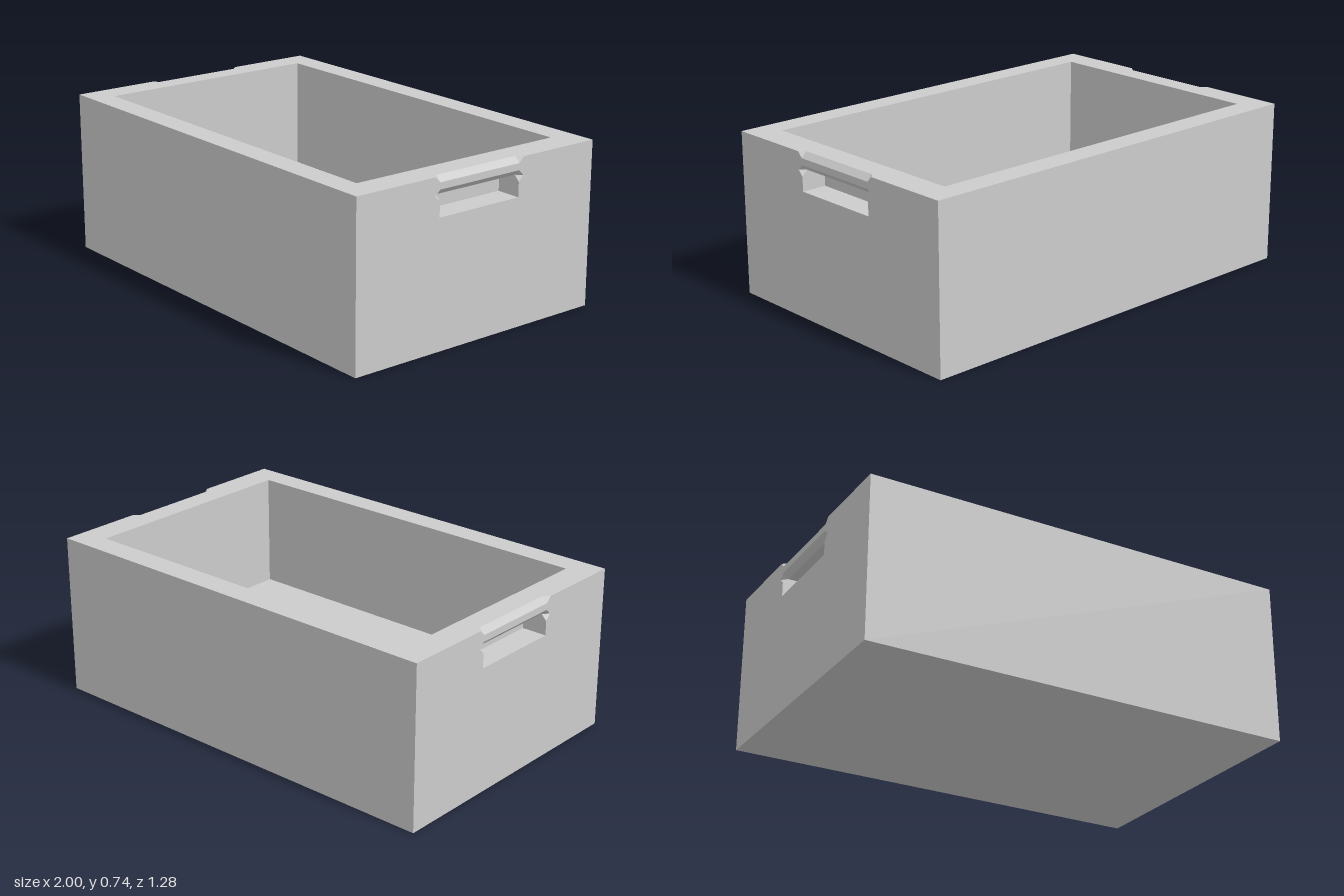
import * as THREE from 'three';

const material = new THREE.MeshStandardMaterial({ color: 0xcccccc, flatShading: true });

// Overall size, cavity limits and grip dimensions
const X = 1, H = 0.74, Z = 0.64;
const CX0 = -0.875, CX1 = 0.868, CZ0 = -0.527, CZ1 = 0.53, FLOOR = 0.22;
const GRIP = 0.215;              // half width of the grip
const C = 0.025;                 // chamfer size
const SLOT0 = 0.57, SLOT1 = 0.66; // slot bottom and ceiling
const BACK = 0.885;              // x of the slot's back wall

// Mesh of flat convex polygons; each entry is [facing direction, ...corners]
function facets(name, list) {
  const positions = [];
  const n = new THREE.Vector3(), e = new THREE.Vector3();
  for (const [facing, ...corners] of list) {
    const p = corners.map(c => new THREE.Vector3(...c));
    n.subVectors(p[1], p[0]).cross(e.subVectors(p[2], p[0]));
    if (n.dot(new THREE.Vector3(...facing)) < 0) p.reverse();
    for (let i = 1; i < p.length - 1; i++) {
      for (const v of [p[0], p[i], p[i + 1]]) positions.push(v.x, v.y, v.z);
    }
  }
  const g = new THREE.BufferGeometry();
  g.setAttribute('position', new THREE.Float32BufferAttribute(positions, 3));
  g.computeVertexNormals();
  return named(name, g);
}

function named(name, geometry) {
  const mesh = new THREE.Mesh(geometry, material);
  mesh.name = name;
  return mesh;
}

// Flat panel with one hole
function panel(outline, hole) {
  const toPoints = a => a.map(([u, v]) => new THREE.Vector2(u, v));
  const shape = new THREE.Shape(toPoints(outline));
  shape.holes.push(new THREE.Path(toPoints(hole)));
  return new THREE.ShapeGeometry(shape);
}

// End wall on the +x side with its grip slot and chamfered edges
function createEnd() {
  const end = new THREE.Group();
  const W = GRIP + C, IN = X - C;

  const wall = panel(
    [[-Z, 0], [Z, 0], [Z, H], [W, H], [GRIP, H - C], [-GRIP, H - C], [-W, H], [-Z, H]],
    [[-GRIP, SLOT0], [-GRIP, SLOT1 - C], [-W, SLOT1], [-GRIP, SLOT1 + C],
      [GRIP, SLOT1 + C], [W, SLOT1], [GRIP, SLOT1 - C], [GRIP, SLOT0]]
  );
  wall.rotateY(Math.PI / 2).translate(X, 0, 0);
  end.add(named('endWall', wall));

  // Rectangle spanning the grip width between two (x, y) points
  const strip = (facing, [xa, ya], [xb, yb]) =>
    [facing, [xa, ya, -GRIP], [xb, yb, -GRIP], [xb, yb, GRIP], [xa, ya, GRIP]];

  const slot = [
    strip([0, 1, 0], [BACK, SLOT0], [X, SLOT0]),
    strip([1, 0, 0], [BACK, SLOT0], [BACK, SLOT1]),
    strip([0, -1, 0], [BACK, SLOT1], [IN, SLOT1])
  ];
  const chamfers = [
    strip([1, -1, 0], [IN, SLOT1], [X, SLOT1 + C]),
    strip([1, 1, 0], [IN, H], [X, H - C])
  ];
  for (const s of [-1, 1]) {
    const z = s * GRIP, tip = s * W;
    slot.push([[0, 0, -s], [BACK, SLOT0, z], [X, SLOT0, z], [X, SLOT1 - C, z],
      [IN, SLOT1, z], [BACK, SLOT1, z]]);
    // Pointed chamfer ends
    chamfers.push(
      [[1, -1, -s], [X, SLOT1, tip], [X, SLOT1 + C, z], [IN, SLOT1, z]],
      [[1, 1, -s], [X, SLOT1, tip], [X, SLOT1 - C, z], [IN, SLOT1, z]],
      [[1, 1, -s], [X, H, tip], [X, H - C, z], [IN, H, z]]
    );
  }
  end.add(facets('gripSlot', slot), facets('gripChamfers', chamfers));
  return end;
}

export function createModel() {
  const model = new THREE.Group();
  model.name = 'crate';

  // Long outer walls and underside
  model.add(facets('longWalls', [1, -1].map(s =>
    [[0, 0, s], [-X, 0, s * Z], [X, 0, s * Z], [X, H, s * Z], [-X, H, s * Z]])));
  model.add(facets('underside', [
    [[0, -1, 0], [-X, 0, -Z], [X, 0, -Z], [X, 0, Z], [-X, 0, Z]]
  ]));

  // Inner walls and floor
  model.add(facets('cavity', [
    ...[[CX0, 1], [CX1, -1]].map(([x, d]) =>
      [[d, 0, 0], [x, FLOOR, CZ0], [x, FLOOR, CZ1], [x, H, CZ1], [x, H, CZ0]]),
    ...[[CZ0, 1], [CZ1, -1]].map(([z, d]) =>
      [[0, 0, d], [CX0, FLOOR, z], [CX1, FLOOR, z], [CX1, H, z], [CX0, H, z]]),
    [[0, 1, 0], [CX0, FLOOR, CZ0], [CX1, FLOOR, CZ0], [CX1, FLOOR, CZ1], [CX0, FLOOR, CZ1]]
  ]));

  // Top rim, notched at both grips
  const half = [[X, -Z], [X, -GRIP - C], [X - C, -GRIP], [X - C, GRIP], [X, GRIP + C], [X, Z]];
  const rim = panel(
    [...half, ...half.map(([u, v]) => [-u, -v])],
    [[CX0, -CZ1], [CX0, -CZ0], [CX1, -CZ0], [CX1, -CZ1]]
  );
  rim.rotateX(-Math.PI / 2).translate(0, H, 0);
  model.add(named('rim', rim));

  // Matching ends
  const left = createEnd();
  left.name = 'leftEnd';
  const right = createEnd();
  right.name = 'rightEnd';
  right.rotation.y = Math.PI;
  model.add(left, right);

  return model;
}
